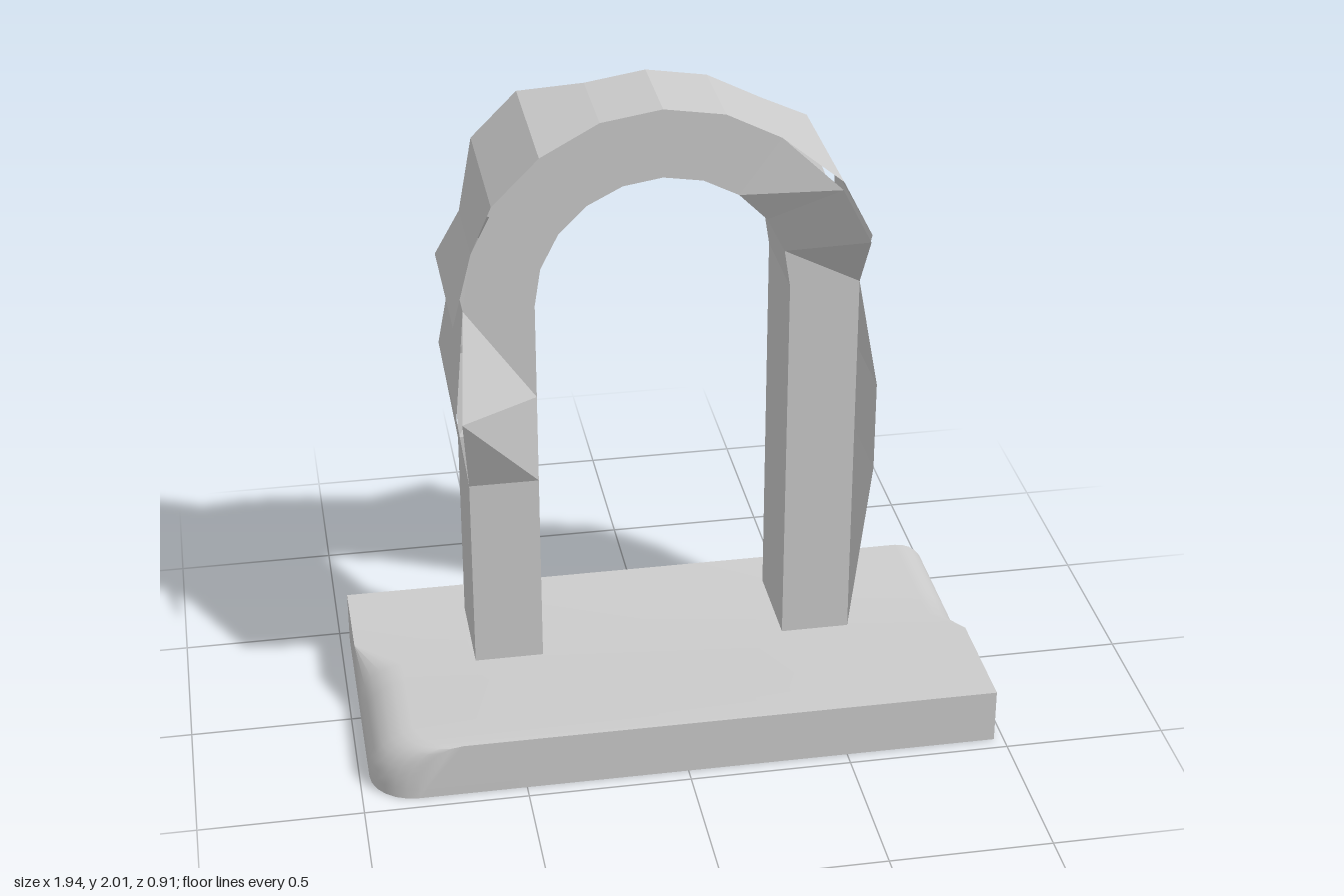
import * as THREE from 'three';
import { toCreasedNormals } from 'three/addons/utils/BufferGeometryUtils.js';

const grey = new THREE.MeshStandardMaterial({ color: 0xcccccc });
const thin = new THREE.MeshStandardMaterial({ color: 0xcccccc, side: THREE.DoubleSide, flatShading: true });

function fromTriangles(corners) {
  const geometry = new THREE.BufferGeometry().setFromPoints(corners);
  geometry.computeVertexNormals();
  return geometry;
}

function addMesh(parent, name, geometry, material) {
  const mesh = new THREE.Mesh(geometry, material);
  mesh.name = name;
  parent.add(mesh);
}

// Ribbon between two edges, given as rows of [p, q]
function ribbon(rows) {
  const tris = [];
  for (let k = 0; k + 1 < rows.length; k++) {
    const [p0, q0] = rows[k], [p1, q1] = rows[k + 1];
    tris.push(q0, q1, p1, q0, p1, p0);
  }
  return fromTriangles(tris);
}

// Slab lofted along z; opposite halves of its two ends have a rounded top edge
function slabGeometry() {
  const X = 0.97, Z = 0.455, H = 0.175, R = 0.14, N = 6;
  const stations = [[-Z, 0, 0.1], [-0.15, 0, 0.1], [-0.02, R, 0.1], [0.08, R, 0], [Z - R, R, 0]];
  for (let i = 1; i <= N; i++) {
    const a = (i / N) * Math.PI / 2;
    stations.push([Z - R + R * Math.sin(a), R, 0, R * (1 - Math.cos(a))]);
  }
  const loops = stations.map(([z, left, right, inset = 0]) => {
    const loop = [[-X + inset, 0], [X, 0]];
    for (let i = 0; i <= N; i++) {
      const a = (i / N) * Math.PI / 2;
      loop.push([X - right * (1 - Math.cos(a)), H - right * (1 - Math.sin(a))]);
    }
    for (let i = N; i >= 0; i--) {
      const a = (i / N) * Math.PI / 2;
      loop.push([-X + inset + left * (1 - Math.cos(a)), H - left * (1 - Math.sin(a))]);
    }
    return loop.map(([x, y]) => new THREE.Vector3(x, y, z));
  });
  const tris = [], n = loops[0].length;
  for (let k = 0; k + 1 < loops.length; k++) {
    const a = loops[k], b = loops[k + 1];
    for (let i = 0; i < n; i++) {
      const j = (i + 1) % n;
      tris.push(a[i], a[j], b[i], a[j], b[j], b[i]);
    }
  }
  const back = loops[0], front = loops[loops.length - 1];
  for (let i = 1; i + 1 < n; i++) {
    tris.push(front[0], front[i], front[i + 1], back[0], back[i + 1], back[i]);
  }
  return toCreasedNormals(fromTriangles(tris), 0.6);
}

// Stations of the arch, from the foot at +x over the top to the foot at -x
const INNER = 0.386, OUTER = 0.6, SPRING = 1.405, FRONT = 0, BACK = -0.31;
const legHeights = [0.175, 0.81, 1.1];
const stations = [
  ...legHeights.map((y) => ({ angle: 90, y })),
  ...Array.from({ length: 11 }, (_, i) => ({ angle: 90 - 18 * i, y: SPRING })),
  ...legHeights.slice().reverse().map((y) => ({ angle: -90, y })),
];

function point(k, radius, z) {
  const { angle, y } = stations[k], a = THREE.MathUtils.degToRad(angle);
  return new THREE.Vector3(radius * Math.sin(a), y + radius * Math.cos(a), z);
}

export function createModel() {
  const model = new THREE.Group();
  addMesh(model, 'base', slabGeometry(), grey);

  const arch = new THREE.Group();
  arch.name = 'arch';
  model.add(arch);
  const all = stations.map((_, k) => k);

  // Front and back faces, with a few corners pulled out
  const flare = 0.027;
  const inner = (k, z, lumps, zLump) =>
    lumps.includes(k) ? point(k, INNER - flare, zLump) : point(k, INNER, z);
  const outer = (k, z, lumps, zLump) =>
    lumps.includes(k) ? point(k, OUTER + flare, zLump) : point(k, OUTER, z);
  addMesh(arch, 'frontFace', ribbon(all.map((k) => [
    inner(k, FRONT, [], 0.14), outer(k, FRONT, [4, 5, 14], 0.14)])), thin);
  addMesh(arch, 'backFace', ribbon(all.map((k) => [
    outer(k, BACK, [5, 13], -0.445), inner(k, BACK, [5, 14], -0.445)])), thin);

  // Plain inner face
  addMesh(arch, 'innerFace', ribbon(all.map((k) => [
    point(k, INNER, BACK), point(k, INNER, FRONT)])), thin);

  // Outer faces of legs and curve, flaring wider at the raised stations
  const outerFace = (name, from, to, raised) => {
    const rows = all.slice(from, to + 1).map((k) => {
      const up = raised.includes(k), r = OUTER + (up ? 0.04 : 0), w = up ? 0.1 : 0;
      return [point(k, r, FRONT + w), point(k, r, BACK - w)];
    });
    addMesh(arch, name, ribbon(rows), thin);
  };
  outerFace('leftLegOuterFace', 0, 3, [1, 2]);
  outerFace('curveOuterFace', 3, 13, [4, 5, 10, 11, 13]);
  outerFace('rightLegOuterFace', 13, 16, [14]);

  return model;
}
